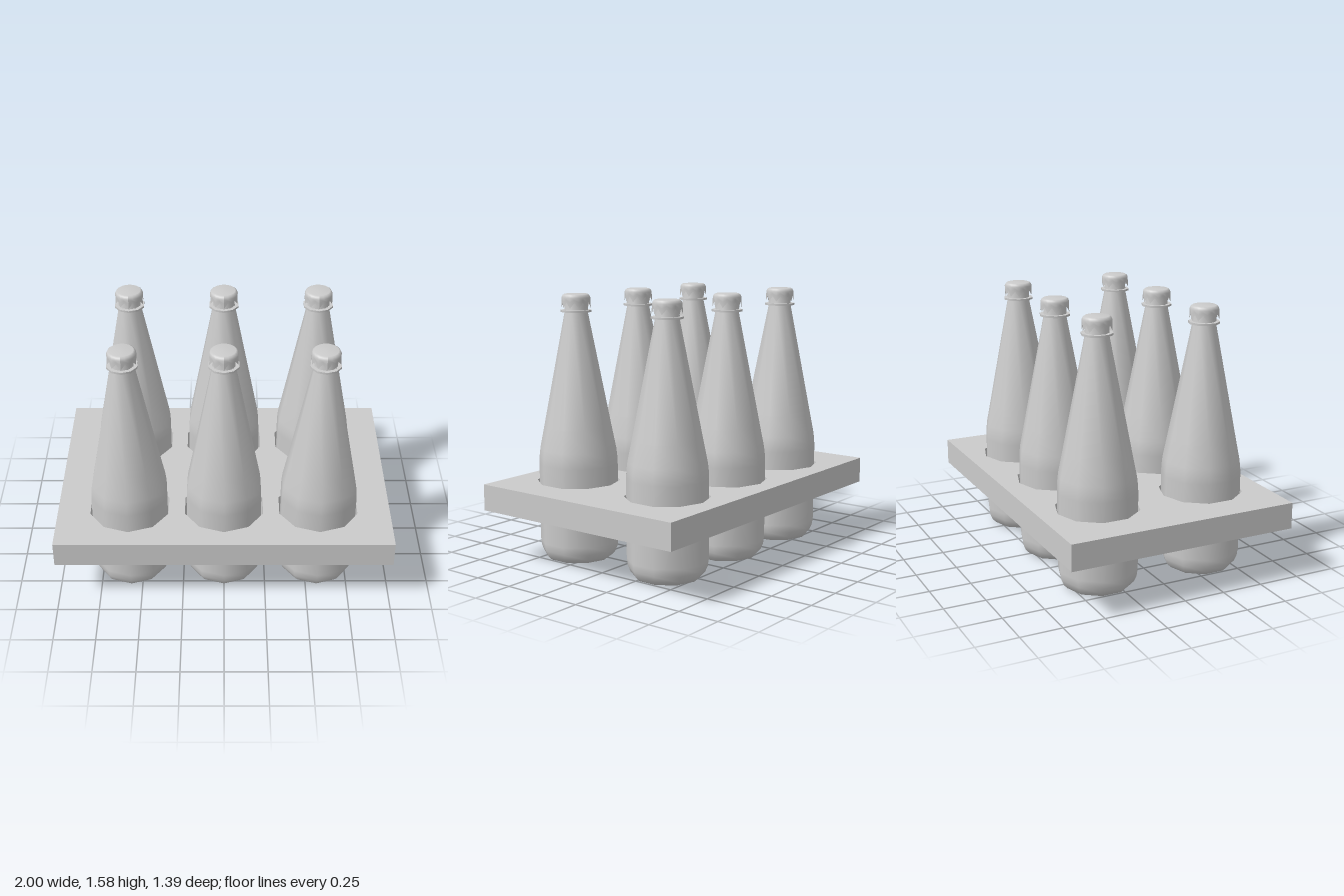
import * as THREE from 'three';

const SIDES = 10;
const material = new THREE.MeshStandardMaterial({ color: 0xcccccc, side: THREE.DoubleSide });

function lathe(profile, sides) {
  return new THREE.LatheGeometry(profile.map(([r, y]) => new THREE.Vector2(r, y)), sides);
}

function addMesh(parent, name, geometry) {
  const mesh = new THREE.Mesh(geometry, material);
  mesh.name = name;
  parent.add(mesh);
  return mesh;
}

// Crimped crown cap: every other corner of the skirt is raised and drawn in
function capGeometry() {
  const geo = lathe([[0.086, 1.5], [0.085, 1.535], [0.084, 1.56], [0.078, 1.573], [0.068, 1.58], [0, 1.581]], 20);
  const pos = geo.attributes.position;
  const rows = 6;
  for (let i = 0; i < pos.count; i++) {
    const column = Math.floor(i / rows);
    if (i % rows === 0 && column % 2 === 1) {
      pos.setXYZ(i, pos.getX(i) * 0.93, 1.532, pos.getZ(i) * 0.93);
    } else if (i % rows === 1 && column % 2 === 1) {
      pos.setXYZ(i, pos.getX(i) * 0.95, 1.548, pos.getZ(i) * 0.95);
    }
  }
  geo.computeVertexNormals();
  return geo;
}

// Slab with a ten-sided hole for each bottle
function carrierGeometry(centres) {
  const w = 1, d = 0.697, holeRadius = 0.247;
  const shape = new THREE.Shape([
    new THREE.Vector2(-w, -d), new THREE.Vector2(w, -d),
    new THREE.Vector2(w, d), new THREE.Vector2(-w, d),
  ]);
  for (const [x, z] of centres) {
    const points = [];
    for (let i = 0; i < SIDES; i++) {
      const a = (-i / SIDES) * Math.PI * 2;
      points.push(new THREE.Vector2(x + holeRadius * Math.sin(a), -z + holeRadius * Math.cos(a)));
    }
    shape.holes.push(new THREE.Path(points));
  }
  return new THREE.ExtrudeGeometry(shape, { depth: 0.157, bevelEnabled: false })
    .rotateX(-Math.PI / 2).translate(0, 0.314, 0);
}

export function createModel() {
  const model = new THREE.Group();
  model.name = 'bottleCarrier';

  const centres = [];
  for (const z of [-0.3375, 0.3375]) for (const x of [-0.568, 0, 0.568]) centres.push([x, z]);

  addMesh(model, 'carrierPlate', carrierGeometry(centres));

  // Bottle profile: rounded base, straight body, long tapering neck
  const body = lathe([
    [0, 0.004], [0.17, 0.002], [0.192, 0.008], [0.213, 0.03], [0.228, 0.065], [0.234, 0.11],
    [0.234, 0.58], [0.232, 0.62], [0.226, 0.67], [0.2, 0.8], [0.069, 1.47], [0.067, 1.56],
  ], SIDES);
  const ring = new THREE.CylinderGeometry(0.091, 0.091, 0.012, SIDES).translate(0, 1.481, 0);
  const cap = capGeometry();

  for (const [x, z] of centres) {
    const bottle = new THREE.Group();
    bottle.name = 'bottle';
    bottle.position.set(x, 0, z);
    addMesh(bottle, 'bottleBody', body);
    addMesh(bottle, 'neckRing', ring);
    addMesh(bottle, 'crownCap', cap);
    model.add(bottle);
  }
  return model;
}
